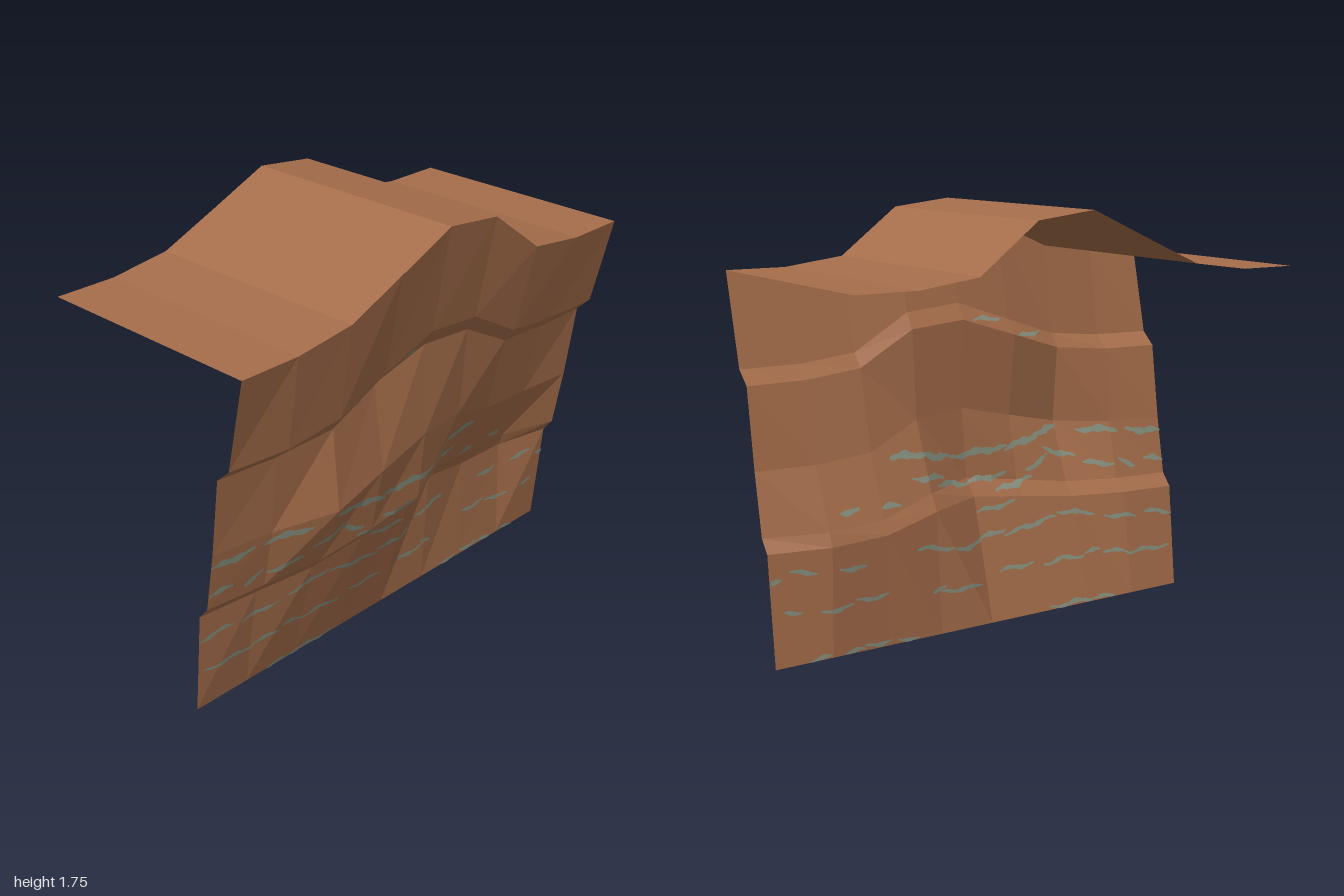
import * as THREE from 'three';

const COLS = 9;
const colX = (c) => -1 + c * 0.25;

// How far the central fold lifts each column (1 = summit)
const fold = [0, 0, 0.13, 0.56, 1, 0.88, 0.13, 0, 0];

// Horizontal cross-sections of the cliff: base height, fold lift, depth per column
const rows = [
  { y: 0.0, lift: 0.0, z: Array(COLS).fill(0.17) },
  { y: 0.445, lift: 0.07, z: [0.215, 0.24, 0.28, 0.3, 0.305, 0.2, 0.165, 0.16, 0.213] },
  { y: 0.5, lift: 0.085, z: [0.26, 0.29, 0.33, 0.355, 0.365, 0.24, 0.195, 0.18, 0.255] },
  { y: 0.75, lift: 0.13, z: [0.305, 0.34, 0.43, 0.41, 0.395, 0.35, 0.29, 0.28, 0.3] },
  { y: 1.073, lift: 0.18, z: [0.35, 0.375, 0.4, 0.365, 0.38, 0.375, 0.362, 0.35, 0.345] },
  { y: 1.13, lift: 0.19, z: [0.412, 0.44, 0.44, 0.42, 0.42, 0.415, 0.405, 0.4, 0.405] },
  { y: 1.5, lift: 0.25, z: Array(COLS).fill(0.495) },
  { y: 1.488, lift: 0.25, z: Array(COLS).fill(-0.495) },
];

const rowPoint = (r, c) =>
  new THREE.Vector3(colX(c), rows[r].y + rows[r].lift * fold[c], rows[r].z[c]);

// Faceted sheet between two rows
function sheet(name, first, last, material) {
  const pos = [];
  for (let r = first; r < last; r++) {
    for (let c = 0; c < COLS - 1; c++) {
      const a = rowPoint(r, c), b = rowPoint(r, c + 1);
      const d = rowPoint(r + 1, c + 1), e = rowPoint(r + 1, c);
      for (const p of [a, b, d, a, d, e]) pos.push(p.x, p.y, p.z);
    }
  }
  return meshFrom(name, pos, material);
}

function meshFrom(name, pos, material) {
  const g = new THREE.BufferGeometry();
  g.setAttribute('position', new THREE.Float32BufferAttribute(pos, 3));
  g.computeVertexNormals();
  const m = new THREE.Mesh(g, material);
  m.name = name;
  return m;
}

// Point lying on the cliff face at a given x and approximate height
function onCliff(x, y) {
  const c = Math.min(COLS - 2, Math.max(0, Math.floor((x + 1) / 0.25 + 1e-6)));
  const u = (x - colX(c)) / 0.25;
  const yAt = (r) => THREE.MathUtils.lerp(rowPoint(r, c).y, rowPoint(r, c + 1).y, u);
  let r = 0;
  while (r < 5 && yAt(r + 1) < y) r++;
  const v = THREE.MathUtils.clamp((y - yAt(r)) / (yAt(r + 1) - yAt(r)), 0, 1);
  const a = rowPoint(r, c), b = rowPoint(r, c + 1);
  const d = rowPoint(r + 1, c + 1), e = rowPoint(r + 1, c);
  const p = a.clone();
  if (u > v) p.addScaledVector(b.clone().sub(a), u).addScaledVector(d.clone().sub(b), v);
  else p.addScaledVector(e.clone().sub(a), v).addScaledVector(d.clone().sub(e), u);
  return p;
}

// Mineral veins by band: [x start, x end, y start, y end]
const veinBands = {
  footVeins: [
    [-0.65, -0.55, 0.01, 0.01], [-0.55, -0.3, 0.015, 0.01], [0.36, 0.46, 0.01, 0.015],
    [0.49, 0.61, 0.02, 0.02], [0.61, 0.7, 0.01, 0.01], [0.76, 0.85, 0.01, 0.005],
  ],
  lowVeins: [
    [-0.98, -0.74, 0.18, 0.18], [-0.75, -0.62, 0.185, 0.2], [-0.61, -0.52, 0.21, 0.21],
    [-0.52, -0.3, 0.2, 0.19], [-0.25, -0.07, 0.205, 0.195], [0.03, 0.25, 0.17, 0.175],
    [0.22, 0.29, 0.19, 0.19], [0.5, 0.65, 0.215, 0.215], [0.66, 0.8, 0.2, 0.19], [0.87, 0.95, 0.205, 0.21],
  ],
  ledgeVeins: [
    [-1, -0.85, 0.33, 0.35], [-0.81, -0.64, 0.335, 0.355], [-0.6, -0.4, 0.37, 0.4],
    [-0.4, -0.12, 0.38, 0.34], [-0.13, 0.03, 0.36, 0.34], [0, 0.17, 0.33, 0.335],
    [0.17, 0.36, 0.345, 0.38], [0.6, 0.72, 0.345, 0.355], [0.81, 0.92, 0.355, 0.365],
    [0.95, 1, 0.34, 0.34], [-0.2, 0, 0.47, 0.45],
  ],
  middleVeins: [
    [-1, -0.9, 0.565, 0.575], [-0.85, -0.77, 0.55, 0.58], [-0.75, -0.6, 0.565, 0.58],
    [-0.57, -0.4, 0.61, 0.66], [-0.42, -0.3, 0.63, 0.58], [-0.33, -0.12, 0.55, 0.52],
    [-0.2, 0.02, 0.58, 0.57], [0.02, 0.2, 0.57, 0.6], [0.15, 0.33, 0.62, 0.65],
    [0.41, 0.5, 0.555, 0.56], [0.6, 0.69, 0.565, 0.565],
  ],
  highVeins: [
    [-1, -0.82, 0.69, 0.71], [-0.78, -0.59, 0.715, 0.725], [-0.5, -0.4, 0.75, 0.72],
    [-0.42, -0.2, 0.73, 0.68], [-0.22, 0.09, 0.69, 0.685], [0.09, 0.28, 0.69, 0.73],
    [0.25, 0.42, 0.73, 0.745],
  ],
  upperVeins: [[-0.42, -0.27, 1.17, 1.165], [-0.2, -0.05, 1.245, 1.25]],
};
const thickness = { footVeins: 0.018, lowVeins: 0.018, ledgeVeins: 0.02, middleVeins: 0.024, highVeins: 0.03, upperVeins: 0.018 };

// Ragged thin strips, one layer on each side of the rock sheet
function veins(name, list, material) {
  const pos = [];
  for (const [x0, x1, y0, y1] of list) {
    const n = Math.max(4, Math.round((x1 - x0) / 0.02));
    const edge = [];
    for (let i = 0; i <= n; i++) {
      const t = i / n;
      const x = THREE.MathUtils.lerp(x0, x1, t);
      const y = THREE.MathUtils.lerp(y0, y1, t) + 0.006 * Math.sin(x * 41 + y0 * 60);
      const half = thickness[name] * 0.5 * (0.35 + 0.65 * Math.sin(Math.PI * t)) * (1 + 0.3 * Math.sin(x * 97));
      edge.push([onCliff(x, Math.max(0, y - half)), onCliff(x, y + half)]);
    }
    for (const side of [0.004, -0.004]) {
      for (let i = 0; i < n; i++) {
        const [a, e] = edge[i], [b, d] = edge[i + 1];
        const tri = side > 0 ? [a, b, d, a, d, e] : [a, d, b, a, e, d];
        for (const p of tri) pos.push(p.x, p.y, p.z + side);
      }
    }
  }
  return meshFrom(name, pos, material);
}

export function createModel() {
  const rock = new THREE.MeshStandardMaterial({ color: 0xa56d4a, side: THREE.DoubleSide, flatShading: true });
  rock.name = 'red brown rock';
  const mineral = new THREE.MeshStandardMaterial({ color: 0x87917f, flatShading: true });
  mineral.name = 'grey green mineral';

  const model = new THREE.Group();
  model.name = 'cliff';
  model.add(sheet('lowerFace', 0, 1, rock));
  model.add(sheet('lowerLedge', 1, 2, rock));
  model.add(sheet('middleFace', 2, 4, rock));
  model.add(sheet('upperLedge', 4, 5, rock));
  model.add(sheet('upperFace', 5, 6, rock));
  model.add(sheet('plateau', 6, 7, rock));
  for (const [name, list] of Object.entries(veinBands)) model.add(veins(name, list, mineral));
  return model;
}
